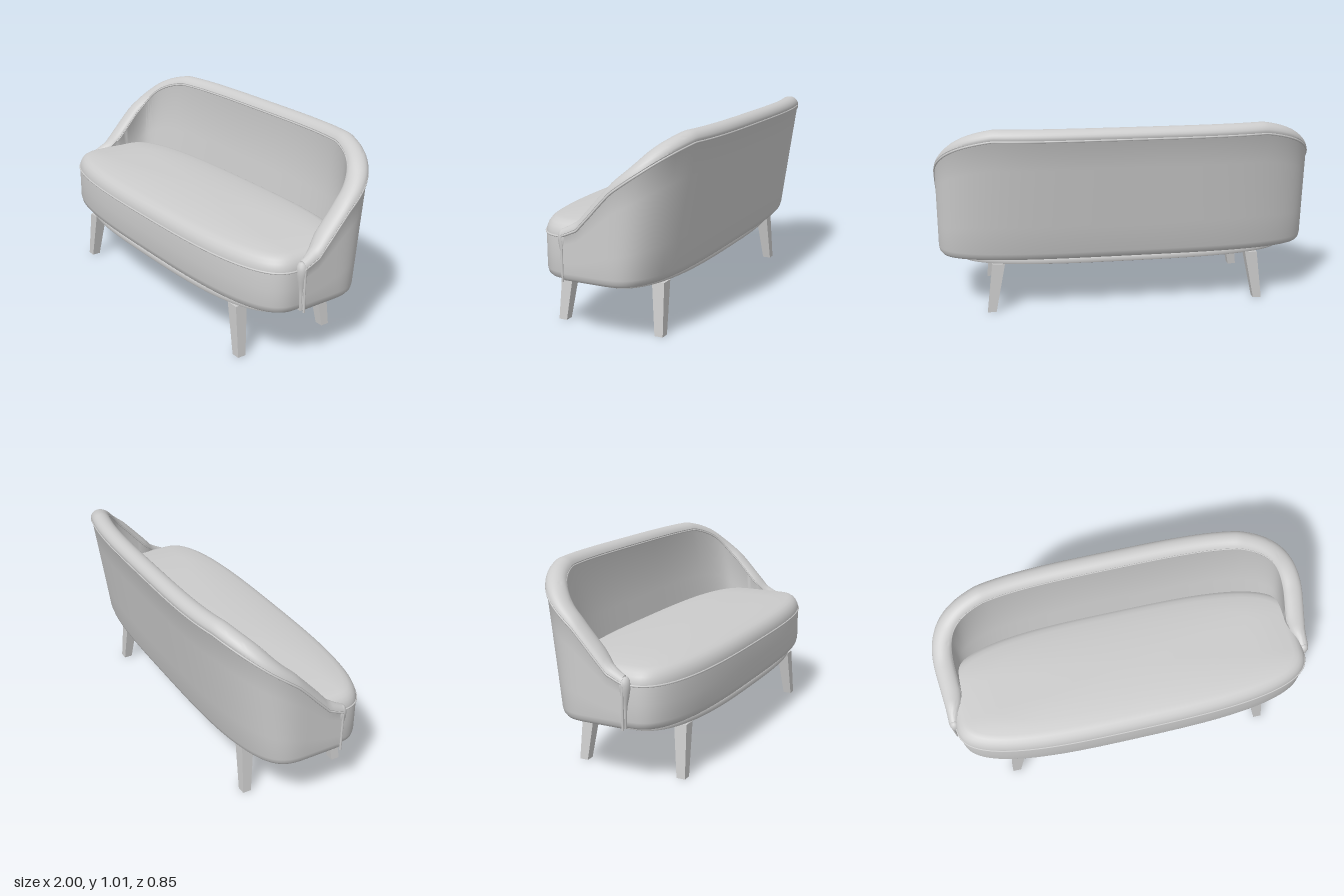
import * as THREE from 'three';
import { toCreasedNormals } from 'three/addons/utils/BufferGeometryUtils.js';

const V = (x, y, z) => new THREE.Vector3(x, y, z);
const lerp = THREE.MathUtils.lerp;

// Surface through a list of closed rings of equal length
function loft(rings, crease = 0.7) {
  const n = rings[0].length, index = [];
  for (let i = 0; i < rings.length - 1; i++) {
    for (let j = 0; j < n; j++) {
      const a = i * n + j, b = i * n + (j + 1) % n;
      index.push(a, a + n, b, b, a + n, b + n);
    }
  }
  const g = new THREE.BufferGeometry().setFromPoints(rings.flat());
  g.setIndex(index);
  return toCreasedNormals(g, crease);
}

// Piecewise linear lookup, keys descending
function lookup(table, k) {
  if (k >= table[0][0]) return table[0][1];
  for (let i = 1; i < table.length; i++) {
    const [k0, v0] = table[i - 1], [k1, v1] = table[i];
    if (k >= k1) return lerp(v0, v1, (k - k0) / (k1 - k0));
  }
  return table[table.length - 1][1];
}

// Rounded plan outline: flat-fronted curves joined by short straight sides
function outline({ a, zf, front, zb, back, n }, inset, y, scale = 1) {
  const pts = [], N = 96, mid = (front + back) / 2;
  for (let i = 0; i < N; i++) {
    const t = ((i + 0.5) / N) * Math.PI * 2, c = Math.cos(t), s = Math.sin(t);
    const x = Math.sign(c) * Math.abs(c) ** (2 / n) * (a - inset);
    const k = Math.abs(s) ** (2 / n);
    const z = s > 0 ? zf + k * (front - inset - zf) : zb + k * (back + inset - zb);
    pts.push(V(x * scale, y, mid + (z - mid) * scale));
  }
  return pts;
}
const slab = (plan, profile) => loft(profile.map(([inset, y, s]) => outline(plan, inset, y, s)));

// Height of the back's outer seam, by depth
const SEAM = [[0.17, 0.52], [0.09, 0.555], [-0.01, 0.66], [-0.1, 0.747],
  [-0.234, 0.843], [-0.377, 0.955], [-0.42, 0.955]];
const TOP_Z = 0.415;
const leanAt = y => (0.30 + 0.115 * (y - 0.3) / 0.655) / TOP_Z;

// Evenly spaced stations along the wrap-around back, from left arm to right arm
function shellStations() {
  const raw = [], n = 3.5, A = 0.994;
  for (let i = 0; i < 8; i++) raw.push(new THREE.Vector2(A, 0.17 * (1 - i / 8)));
  for (let i = 0; i <= 120; i++) {
    const t = (i / 120) * Math.PI, c = Math.cos(t);
    raw.push(new THREE.Vector2(Math.sign(c) * Math.abs(c) ** (2 / n) * A,
      -TOP_Z * Math.abs(Math.sin(t)) ** (2 / n)));
  }
  for (let i = 1; i <= 8; i++) raw.push(new THREE.Vector2(-A, 0.17 * i / 8));
  const curve = new THREE.SplineCurve(raw);
  curve.arcLengthDivisions = 1500;
  const pts = curve.getSpacedPoints(140);
  return pts.map((p, i) => {
    const d = pts[Math.min(i + 1, 140)].clone().sub(pts[Math.max(i - 1, 0)]).normalize();
    const f = THREE.MathUtils.smoothstep(p.y, 0.02, 0.17);
    return {
      z: p.y, h: lookup(SEAM, p.y), thick: lerp(0.095, 0.045, f), rise: lerp(0.048, 0.03, f),
      // Point at a distance inward from the outer face, at height y
      at: (inward, y) => V(p.x + d.y * inward, y,
        (p.y < 0 ? p.y * leanAt(y) : p.y) - d.x * inward),
    };
  });
}

// Cross-section of the back: outer face, padded roll, inner face
function shellSection({ h, thick, rise, at }) {
  const s = [at(thick, 0.297), at(0.035, 0.297), at(0.015, 0.303), at(0.004, 0.318), at(0, 0.34)];
  for (let i = 1; i <= 4; i++) s.push(at(0, lerp(0.34, h, i / 4)));
  for (let i = 1; i < 14; i++) {
    const t = (i / 14) * Math.PI;
    s.push(at(thick / 2 - (thick / 2 + 0.005) * Math.cos(t), h + rise * Math.sin(t) + 0.012 * i / 14));
  }
  s.push(at(thick, h + 0.012), at(thick, lerp(h, 0.42, 0.5)), at(thick, 0.42));
  return s;
}

function piping(points, radius, closed = false) {
  const curve = new THREE.CatmullRomCurve3(points, closed, 'centripetal');
  return new THREE.TubeGeometry(curve, points.length * 2, radius, 8, closed);
}

export function createModel() {
  const sofa = new THREE.Group();
  sofa.name = 'sofa';
  const grey = new THREE.MeshStandardMaterial({ color: 0xcccccc });
  grey.name = 'light grey';
  const add = (name, geometry) => {
    const m = new THREE.Mesh(geometry, grey);
    m.name = name;
    sofa.add(m);
    return m;
  };

  // Seat cushion with a crowned top
  const seat = { a: 0.967, zf: 0.17, front: 0.42, zb: 0, back: -0.28, n: 3 };
  add('seatCushion', slab(seat, [
    [0.04, 0.296, 0], [0.04, 0.296, 1], [0.018, 0.299, 1], [0.006, 0.31, 1], [0, 0.335, 1],
    [0, 0.42, 1], [0, 0.51, 1], [0.003, 0.53, 1], [0.012, 0.55, 1], [0.026, 0.567, 1],
    [0.045, 0.578, 1], [0.07, 0.584, 1], [0.07, 0.593, 0.8], [0.07, 0.600, 0.55],
    [0.07, 0.604, 0.28], [0.07, 0.605, 0],
  ]));
  add('seatPiping', piping(outline(seat, 0, 0.51), 0.005, true));

  // Base plate under the seat
  const base = { a: 0.887, zf: 0.12, front: 0.40, zb: 0.02, back: -0.262, n: 3 };
  add('basePlate', slab(base, [
    [0.01, 0.262, 0], [0.01, 0.262, 1], [0.003, 0.265, 1], [0, 0.272, 1],
    [0, 0.288, 1], [0.004, 0.296, 1], [0.01, 0.299, 1], [0.01, 0.299, 0],
  ]));

  // Wrap-around back and arms, closed at both ends
  const stations = shellStations();
  const rings = stations.map(shellSection);
  const collapse = ring => {
    const c = ring.reduce((s, p) => s.add(p), V(0, 0, 0)).divideScalar(ring.length);
    return ring.map(() => c.clone());
  };
  add('backrest', loft([collapse(rings[0]), ...rings, collapse(rings[rings.length - 1])]));

  // Piping on the outer seam, running down each arm front, and on the inner seam
  const first = stations[0], last = stations[stations.length - 1];
  const drop = s => [0.30, 0.36, 0.42, 0.48, 0.51].map(y => s.at(0, y));
  add('outerPiping', piping(
    [...drop(first), ...stations.map(s => s.at(0, s.h)), ...drop(last).reverse()], 0.006));
  add('innerPiping', piping(
    stations.filter(s => s.z < 0.06).map(s => s.at(s.thick, s.h + 0.012)), 0.005));

  // Padded arm fronts tapering downward
  const tear = [[0, 0.30], [0.007, 0.302], [0.009, 0.38], [0.014, 0.42], [0.022, 0.455], [0.028, 0.49],
    [0.029, 0.515], [0.025, 0.535], [0.015, 0.548], [0, 0.552]].map(p => new THREE.Vector2(...p));
  for (const side of [1, -1]) {
    const pad = add(side > 0 ? 'leftArmFront' : 'rightArmFront', new THREE.LatheGeometry(tear, 20));
    pad.position.set(side * 0.97, 0, 0.17);
  }

  // Splayed square legs, tapering to the floor
  for (const side of [1, -1]) {
    for (const [name, zTop, zFoot] of [['FrontLeg', 0.322, 0.34], ['BackLeg', -0.1875, -0.205]]) {
      const g = new THREE.BoxGeometry(1, 1, 1), p = g.attributes.position;
      for (let i = 0; i < p.count; i++) {
        const top = p.getY(i) > 0, w = top ? 0.066 : 0.045;
        p.setXYZ(i, p.getX(i) * w + side * (top ? 0.682 : 0.725), top ? 0.265 : 0,
          p.getZ(i) * w + (top ? zTop : zFoot));
      }
      g.computeVertexNormals();
      add((side > 0 ? 'left' : 'right') + name, g);
    }
  }
  return sofa;
}
